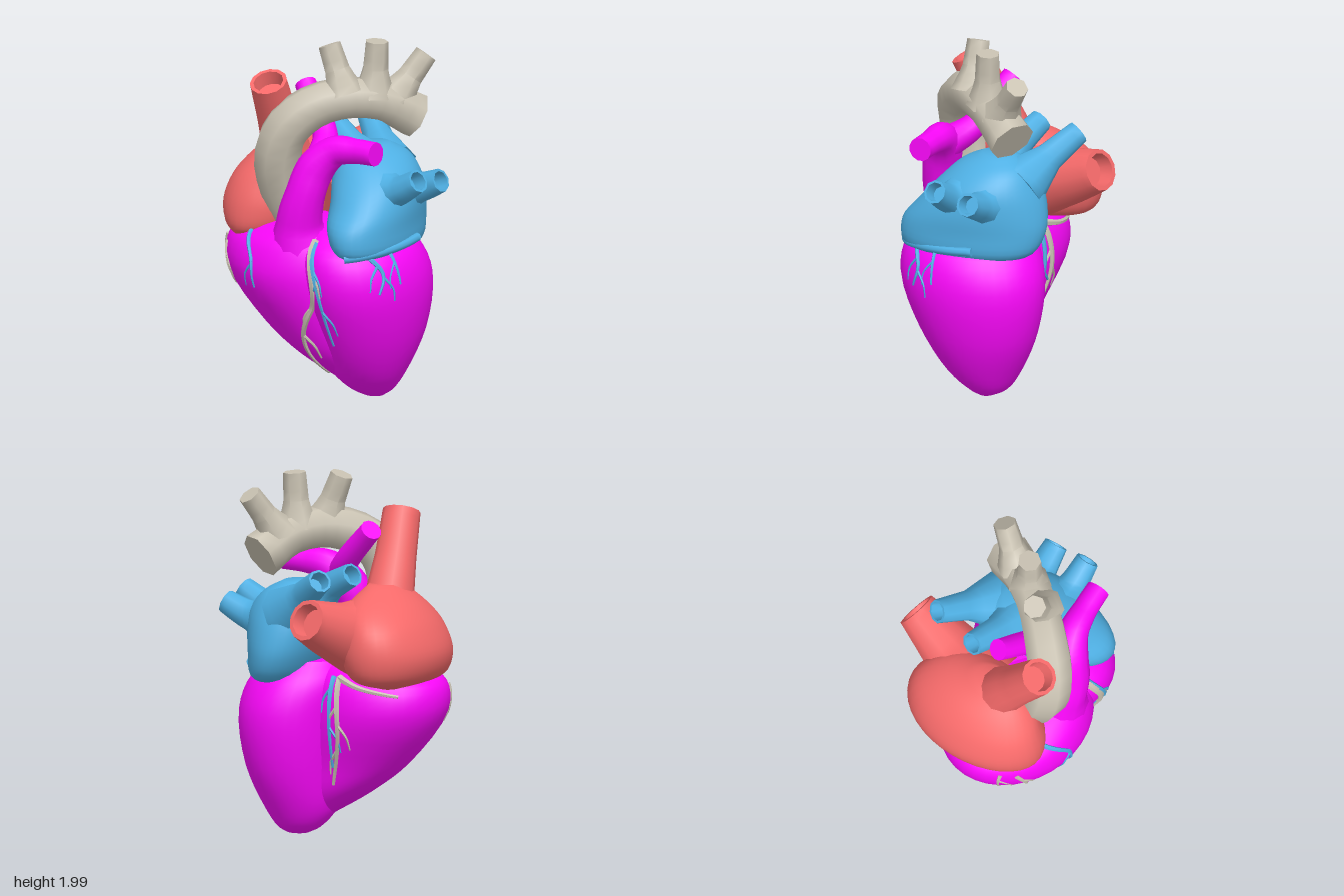
import * as THREE from 'three';
import { toCreasedNormals } from 'three/addons/utils/BufferGeometryUtils.js';

const V = (x, y, z) => new THREE.Vector3(x, y, z);
const material = (color) => new THREE.MeshStandardMaterial({ color, side: THREE.DoubleSide });
const times = (n, f) => Array.from({ length: n }, (_, i) => f(i));

// Skin over rings of points (each ring runs from +x to +z as seen going up), closed at both ends
function skin(rings) {
  const n = rings[0].length, pos = [], index = [];
  rings.forEach((ring) => ring.forEach((p) => pos.push(p.x, p.y, p.z)));
  for (let i = 0; i < rings.length - 1; i++) {
    for (let j = 0; j < n; j++) {
      const a = i * n + j, b = i * n + (j + 1) % n;
      index.push(a, a + n, b, b, a + n, b + n);
    }
  }
  [0, rings.length - 1].forEach((i) => {
    const c = rings[i].reduce((s, p) => s.add(p), V(0, 0, 0)).divideScalar(n);
    const k = pos.push(c.x, c.y, c.z) / 3 - 1;
    for (let j = 0; j < n; j++) {
      const a = i * n + j, b = i * n + (j + 1) % n;
      index.push(...(i === 0 ? [k, a, b] : [k, b, a]));
    }
  });
  const geo = new THREE.BufferGeometry();
  geo.setAttribute('position', new THREE.Float32BufferAttribute(pos, 3));
  geo.setIndex(index);
  return toCreasedNormals(geo, 0.9);
}

// Smooth body through a stack of ovals: height, centre x and z, radii x and z, sideways shear
function body(ovals, around = 36, steps = 24) {
  const columns = times(around, (j) => {
    const a = (j / around) * Math.PI * 2;
    return new THREE.CatmullRomCurve3(ovals.map(([y, cx, cz, rx, rz, shear = 0]) =>
      V(cx + rx * Math.cos(a) + shear * rz * Math.sin(a), y, cz + rz * Math.sin(a))));
  });
  return skin(times(steps + 1, (i) => columns.map((c) => c.getPoint(i / steps))));
}

// Tube through [x, y, z, radius] points; a hollow one gets a rim and a recess at its end
function tube(path, { sides = 12, steps = 16, hollow = false } = {}) {
  const curve = new THREE.CatmullRomCurve3(path.map((p) => V(p[0], p[1], p[2])));
  const { normals, binormals, tangents } = curve.computeFrenetFrames(steps);
  const ringAt = (i, scale = 1, back = 0) => {
    const t = curve.getUtoTmapping(i / steps) * (path.length - 1);
    const k = Math.min(Math.floor(t), path.length - 2);
    const r = scale * THREE.MathUtils.lerp(path[k][3], path[k + 1][3], t - k);
    const centre = curve.getPointAt(i / steps).addScaledVector(tangents[i], -back);
    return times(sides, (j) => {
      const a = (j / sides) * Math.PI * 2;
      return centre.clone().addScaledVector(normals[i], r * Math.cos(a))
        .addScaledVector(binormals[i], -r * Math.sin(a));
    });
  };
  const rings = times(steps + 1, (i) => ringAt(i));
  if (hollow) rings.push(ringAt(steps, 0.8), ringAt(steps, 0.7, 0.08));
  return skin(rings);
}

export function createModel() {
  const model = new THREE.Group();
  const muscle = material(0xfa08fa), red = material(0xf66a6a);
  const blue = material(0x4fb0e4), bone = material(0xc9c2b2);
  const add = (name, geo, mat) => {
    const mesh = new THREE.Mesh(geo, mat);
    mesh.name = name;
    model.add(mesh);
    return mesh;
  };

  // Two overlapping ventricles, which leave a groove between them at the back
  const ventricles = [
    add('leftVentricle', body([[0, .22, .01, .06, .05], [.035, .21, .01, .12, .115], [.14, .21, .035, .2, .21],
      [.38, .24, .055, .275, .335], [.68, .24, .09, .318, .41], [.86, .2, .11, .3, .37],
      [.97, .15, .1, .2, .26]]), muscle),
    add('rightVentricle', body([[.09, .14, .08, .07, .08, .15], [.24, .05, .12, .23, .21, .15],
      [.4, -.04, .15, .34, .28, .15], [.7, -.17, .17, .43, .38, .15], [.86, -.17, .17, .42, .35, .15],
      [.94, -.12, .18, .31, .28, .2], [.98, -.06, .22, .16, .18, .2]]), muscle),
  ];

  // Pulmonary artery and its two branches
  add('pulmonaryTrunk', tube([[-.02, .84, .33, .19], [-.01, 1.0, .37, .128], [.04, 1.18, .38, .108],
    [.09, 1.33, .345, .105], [.19, 1.425, .31, .085], [.33, 1.445, .3, .068], [.46, 1.45, .3, .066]],
  { steps: 28 }), muscle);
  add('rightPulmonaryArtery', tube([[.1, 1.36, .32, .09], [.03, 1.46, .19, .07],
    [-.2, 1.69, .07, .06]]), muscle);

  // Aorta with its three upper branches
  add('aorta', tube([[-.11, .95, .24, .1], [-.17, 1.12, .29, .125], [-.17, 1.35, .355, .135], [-.11, 1.52, .345, .13],
    [0, 1.635, .25, .122], [.13, 1.675, .12, .115], [.25, 1.645, -.04, .115], [.34, 1.545, -.2, .13]],
  { sides: 8, steps: 18 }), bone);
  [[[.13, 1.7, .15], [.03, 1.965, .16]], [[.22, 1.68, .01], [.235, 1.985, 0]],
    [[.28, 1.65, -.1], [.38, 1.885, -.25]]].forEach(([a, b], i) => {
    const mid = a.map((v, k) => v + (b[k] - v) * 0.45);
    add('aorticBranch' + (i + 1), tube([[...a, .12], [...mid, .072], [...b, .064]], { sides: 7, steps: 6 }), bone);
  });

  // Right atrium and the two great veins
  add('rightAtrium', body([[.86, -.4, .12, .09, .27], [.92, -.38, .06, .22, .385], [1.04, -.375, .04, .265, .41],
    [1.18, -.36, .03, .23, .38], [1.29, -.31, .04, .19, .3], [1.4, -.27, .1, .08, .12]]), red);
  add('superiorVenaCava', tube([[-.28, 1.12, .08, .2], [-.275, 1.32, .14, .135], [-.26, 1.53, .24, .113],
    [-.235, 1.755, .355, .103]], { hollow: true }), red);
  add('inferiorVenaCava', tube([[-.24, 1.1, 0, .25], [-.17, 1.17, -.25, .17],
    [-.11, 1.275, -.51, .115]], { hollow: true }), red);

  // Left atrium and the four pulmonary veins
  add('leftAtrium', body([[.835, .33, .08, .09, .24, .1], [.88, .31, .08, .18, .37, .1], [1, .28, .06, .22, .4, .12],
    [1.12, .26, .02, .24, .35, .14], [1.24, .23, -.01, .24, .28, .1], [1.34, .2, -.03, .18, .2],
    [1.4, .19, -.04, .08, .09]]), blue);
  [[[.32, 1.17, .08], [.48, 1.21, .12], [.62, 1.29, .13]], [[.32, 1.16, -.06], [.48, 1.19, -.07], [.62, 1.25, -.07]],
    [[.18, 1.24, -.17], [.03, 1.36, -.27], [-.12, 1.47, -.37]], [[.14, 1.26, -.02], [0, 1.37, -.05], [-.18, 1.47, -.11]],
  ].forEach(([a, b, c], i) => add('pulmonaryVein' + (i + 1),
    tube([[...a, .16], [...b, .082], [...c, .066]], { sides: 9, steps: 10, hollow: true }), blue));

  // Coronary sinus hugging the outer foot of the left atrium
  add('coronarySinus', tube(times(6, (i) => {
    const a = 1.35 - i * 0.33;
    return [.31 + .19 * Math.cos(a), .87 + .01 * i, .08 + .37 * Math.sin(a), .024];
  }), { sides: 8, steps: 20 }), blue);

  // Coronary vessels: paths of [across, height] dropped onto the ventricles from one side, with twigs
  const ray = new THREE.Raycaster();
  const views = { front: [0, 1], back: [0, -1], left: [1, 0], right: [-1, 0] };
  function vessel(side, mat, r, twigs, pts) {
    const [dx, dz] = views[side], path = [];
    const flat = new THREE.CatmullRomCurve3(pts.map((p) => V(p[0], p[1], 0))).getPoints(pts.length * 4);
    flat.forEach((p, i) => {
      ray.set(V(dx * 3 + Math.abs(dz) * p.x, p.y, dz * 3 + Math.abs(dx) * p.x), V(-dx, 0, -dz));
      const hit = ray.intersectObjects(ventricles)[0];
      if (hit) path.push([...hit.point.toArray(), r * (1 - 0.6 * i / flat.length)]);
    });
    add(side + 'CoronaryVessel', tube(path, { sides: 6, steps: path.length * 2 }), mat);
    times(twigs, (i) => {
      const { x, y } = flat[Math.round(flat.length * (i + 1) / (twigs + 2))];
      const turn = i % 2 ? -1 : 1;
      vessel(side, mat, r * 0.55, 0, [[x, y], [x + turn * 0.05, y - 0.07], [x + turn * 0.06, y - 0.14]]);
    });
  }
  vessel('front', bone, .022, 3, [[.13, .93], [.17, .66], [.05, .36], [.07, .14]]);
  vessel('front', blue, .018, 3, [[.14, .92], [.21, .66], [.23, .35]]);
  vessel('front', blue, .015, 2, [[-.31, .93], [-.22, .8], [-.2, .64]]);
  vessel('front', bone, .014, 1, [[-.5, .82], [-.43, .6]]);
  vessel('left', blue, .016, 2, [[.33, .87], [.29, .78], [.32, .67]]);
  vessel('left', blue, .012, 1, [[.2, .87], [.19, .71]]);
  vessel('back', bone, .02, 3, [[-.12, .9], [-.13, .6], [-.06, .3]]);
  vessel('back', blue, .018, 2, [[-.08, .9], [-.07, .4]]);
  vessel('back', bone, .022, 0, [[-.12, .9], [-.25, .86], [-.47, .82]]);
  vessel('right', bone, .012, 1, [[.3, .84], [.29, .63]]);
  return model;
}
